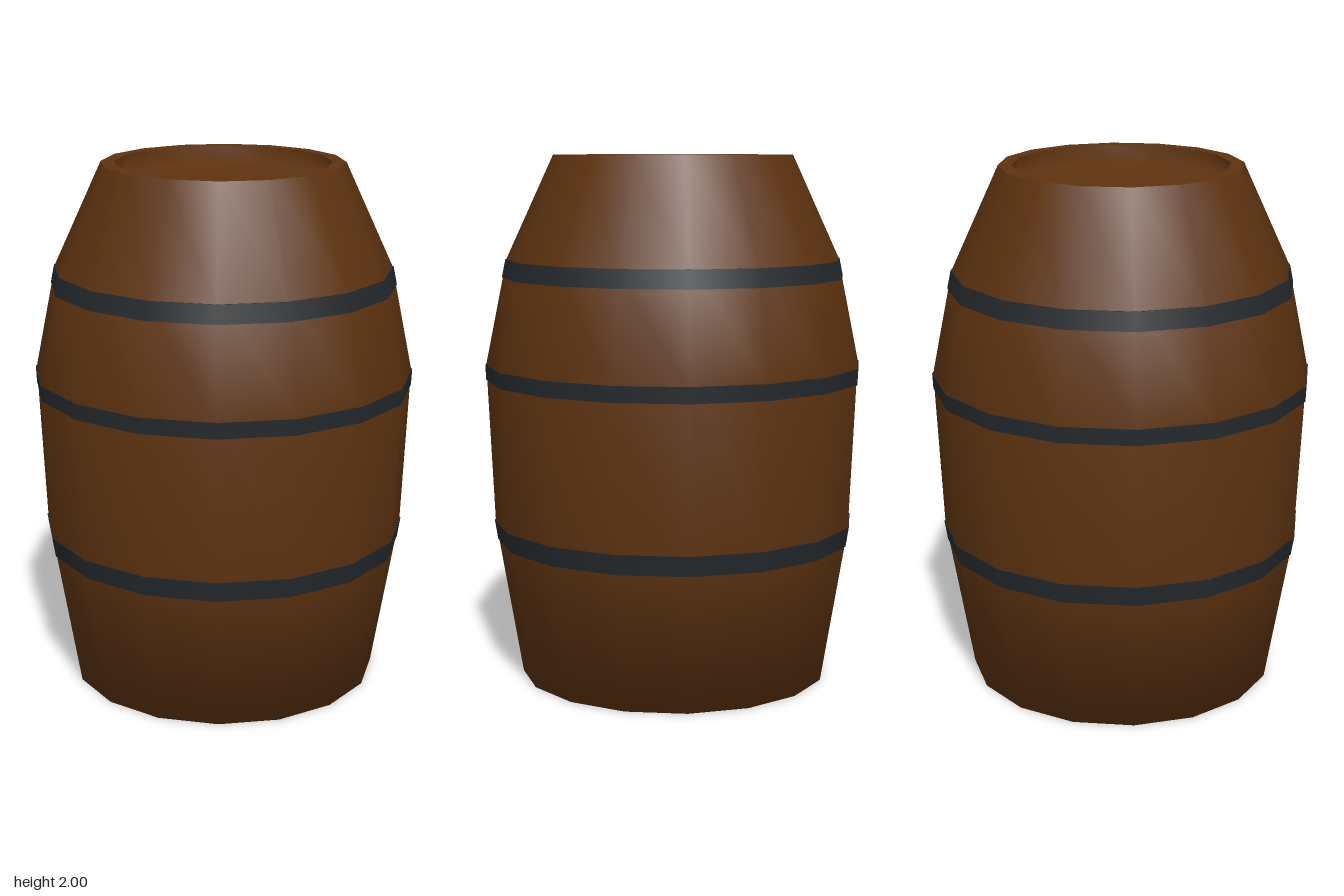
import * as THREE from 'three';
import { mergeGeometries } from 'three/addons/utils/BufferGeometryUtils.js';

const SIDES = 16;

// Revolve a list of [radius, height] points, smooth along the profile
const lathe = (points) =>
  new THREE.LatheGeometry(points.map(([r, y]) => new THREE.Vector2(r, y)), SIDES);

// Outer silhouette of the staves, bottom to top
const STAVES = [[0.59, 0], [0.69, 0.6], [0.717, 1.21], [0.635, 1.61], [0.455, 2]];

// Stave radius at a given height
function radiusAt(y) {
  const i = Math.max(1, STAVES.findIndex((p) => p[1] >= y));
  const [r0, y0] = STAVES[i - 1], [r1, y1] = STAVES[i];
  return r0 + (r1 - r0) * (y - y0) / (y1 - y0);
}

// Thin iron band hugging the staves, with sharp upper and lower lips
function bandGeometry(y0, y1) {
  const t = 0.004;
  const r0 = radiusAt(y0), r1 = radiusAt(y1);
  return mergeGeometries([
    lathe([[r0 - t, y0], [r0 + t, y0]]),
    lathe([[r0 + t, y0], [r1 + t, y1]]),
    lathe([[r1 + t, y1], [r1 - t, y1]]),
  ]);
}

export function createModel() {
  const wood = new THREE.MeshStandardMaterial({ color: 0x5e3310 });
  wood.name = 'brown wood';
  const iron = new THREE.MeshStandardMaterial({ color: 0x25292c });
  iron.name = 'dark iron';

  const barrel = new THREE.Group();
  barrel.name = 'barrel';
  const add = (name, geometry, material) => {
    const mesh = new THREE.Mesh(geometry, material);
    mesh.name = name;
    barrel.add(mesh);
  };

  // Staves blend softly into the base
  add('stavesAndBase', lathe([[0, 0], ...STAVES]), wood);
  // Flat top rim
  add('rim', lathe([[0.455, 2], [0.405, 2]]), wood);
  // Recessed lid with its short inner wall
  add('recessedLid', lathe([[0.405, 2], [0.4, 1.93], [0, 1.93]]), wood);

  // Three bands
  add('lowerBand', bandGeometry(0.53, 0.605), iron);
  add('middleBand', bandGeometry(1.15, 1.21), iron);
  add('upperBand', bandGeometry(1.54, 1.608), iron);

  return barrel;
}
